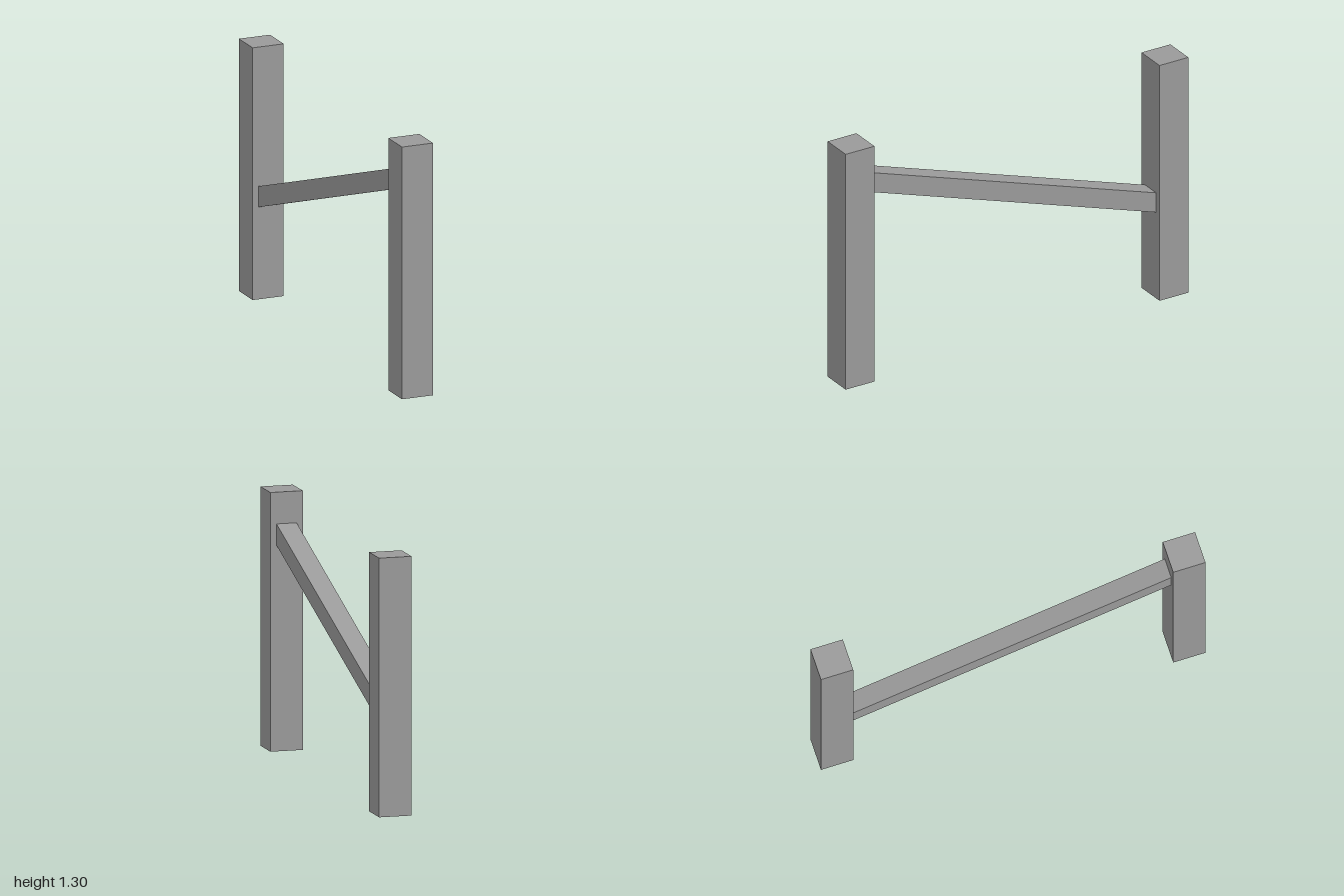
import * as THREE from 'three';

const POST = 0.168, HEIGHT = 1.305;
const RAIL_WIDTH = 0.104, RAIL_HEIGHT = 0.108;
const RAIL_FRONT_Y = 1.091, RAIL_BACK_Y = 0.531;

export function createModel() {
  const group = new THREE.Group();
  const material = new THREE.MeshStandardMaterial({ color: 0x9a9a9a, flatShading: true });

  const add = (name, geometry, y, z) => {
    const mesh = new THREE.Mesh(geometry, material);
    mesh.name = name;
    mesh.position.set(0, y, z);
    group.add(mesh);
  };

  // Two square posts
  const postGeometry = new THREE.BoxGeometry(POST, HEIGHT, POST);
  const postZ = 1 - POST / 2;
  add('frontPost', postGeometry, HEIGHT / 2, postZ);
  add('backPost', postGeometry, HEIGHT / 2, -postZ);

  // Sloping rail: a box sheared so its ends sit flush against the posts
  const span = 2 * (1 - POST);
  const slope = (RAIL_FRONT_Y - RAIL_BACK_Y) / span;
  const railGeometry = new THREE.BoxGeometry(RAIL_WIDTH, RAIL_HEIGHT, span);
  railGeometry.applyMatrix4(new THREE.Matrix4().set(
    1, 0, 0, 0,
    0, 1, slope, 0,
    0, 0, 1, 0,
    0, 0, 0, 1));
  railGeometry.computeVertexNormals();
  add('slopingRail', railGeometry, (RAIL_FRONT_Y + RAIL_BACK_Y) / 2, 0);

  return group;
}
